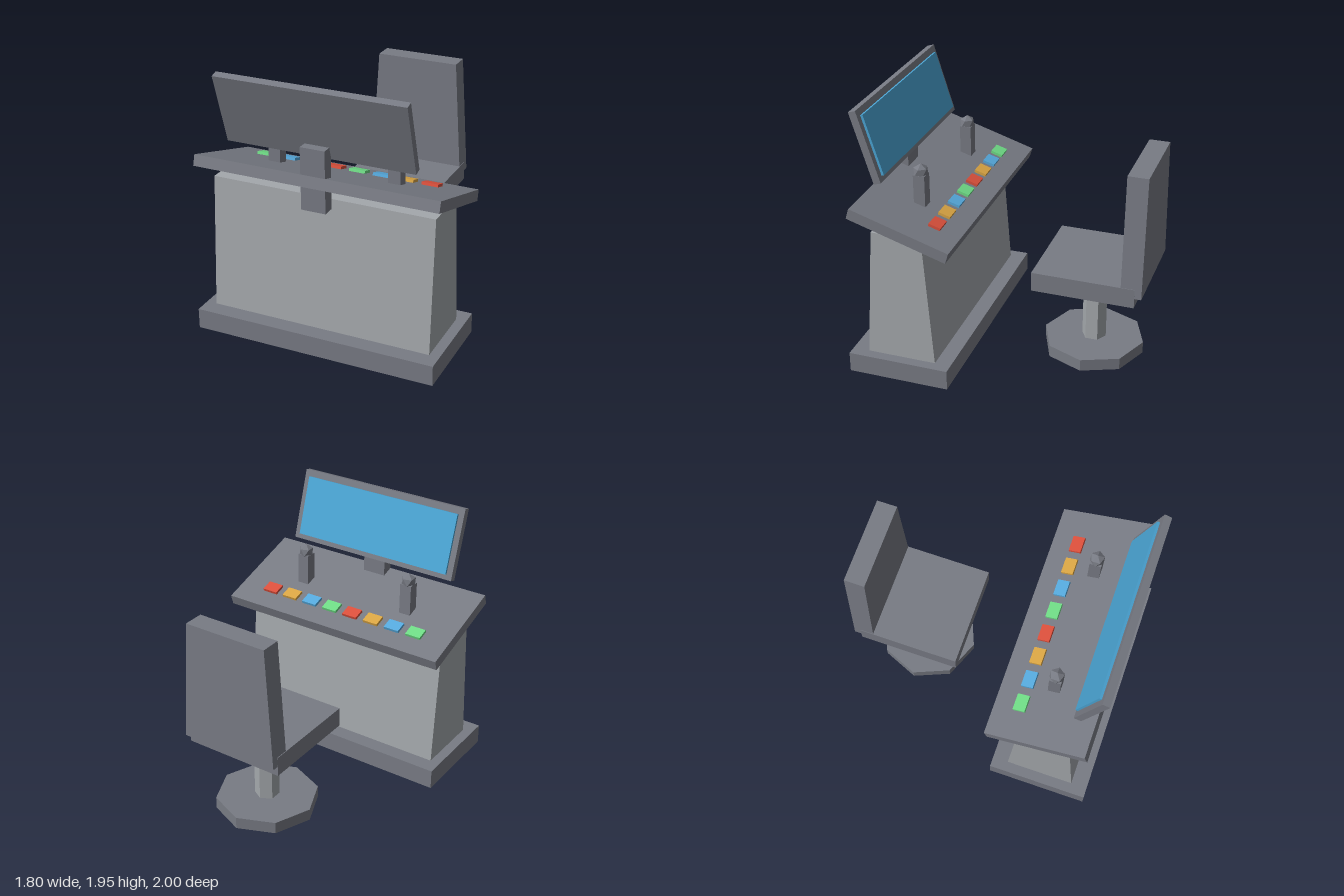
import * as THREE from 'three';

const mat = (name, color) => {
  const m = new THREE.MeshStandardMaterial({ color });
  m.name = name;
  return m;
};

export function createModel() {
  const frame = mat('dark grey frame', 0x787b84);
  const panel = mat('light grey panel', 0xa4a8ac);
  const glass = mat('screen blue', 0x4ba6d6);
  const buttonMats = [
    mat('button green', 0x6fdc86), mat('button blue', 0x56aade),
    mat('button amber', 0xdba644), mat('button red', 0xdc503c),
  ];

  const model = new THREE.Group();
  model.name = 'consoleAndChair';

  const add = (parent, name, geometry, material, x, y, z) => {
    const mesh = new THREE.Mesh(geometry, material);
    mesh.name = name;
    mesh.position.set(x, y, z);
    parent.add(mesh);
    return mesh;
  };
  const box = (w, h, d) => new THREE.BoxGeometry(w, h, d);
  const group = (name, x = 0, y = 0, z = 0) => {
    const g = new THREE.Group();
    g.name = name;
    g.position.set(x, y, z);
    model.add(g);
    return g;
  };
  // Box whose top face is scaled in x and z
  const taperedBox = (w, h, d, sx, sz) => {
    const g = box(w, h, d);
    const p = g.attributes.position;
    for (let i = 0; i < p.count; i++) {
      if (p.getY(i) > 0) p.setXYZ(i, p.getX(i) * sx, p.getY(i), p.getZ(i) * sz);
    }
    g.computeVertexNormals();
    return g;
  };
  // Flat-sided cylinder
  const prism = (r, h, sides) => {
    const g = new THREE.CylinderGeometry(r, r, h, sides).toNonIndexed();
    g.computeVertexNormals();
    return g;
  };

  // Console body
  add(model, 'consoleBase', box(1.8, 0.15, 0.75), frame, 0, 0.075, 0.625);
  add(model, 'consolePedestal', taperedBox(1.65, 0.98, 0.51, 1, 0.725), panel, 0, 0.64, 0.623);

  // Sloping desk with a row of buttons
  const desk = group('desk', 0, 1.177, 0.58);
  desk.rotation.x = -0.3;
  add(desk, 'deskTop', box(1.8, 0.08, 0.75), frame, 0, 0, 0);
  for (let i = 0; i < 8; i++) {
    add(desk, 'button', box(0.12, 0.02, 0.09), buttonMats[i % 4], -0.63 + 0.18 * i, 0.05, -0.18);
  }

  // Control sticks with faceted knobs
  const knob = new THREE.IcosahedronGeometry(0.058);
  knob.rotateZ(-Math.atan(2 / (1 + Math.sqrt(5)))); // one corner straight up
  for (const side of [-1, 1]) {
    add(model, 'stickPost', box(0.09, 0.28, 0.085), frame, side * 0.45, 1.3, 0.58);
    add(model, 'stickKnob', knob, frame, side * 0.45, 1.46, 0.58);
  }

  // Monitor on its bracket, facing the chair
  add(model, 'monitorBracket', box(0.18, 0.45, 0.09), frame, 0, 1.295, 0.88);
  const monitor = group('monitor', 0, 1.691, 0.88);
  monitor.rotation.x = 0.3;
  add(monitor, 'monitorCase', box(1.38, 0.535, 0.055), frame, 0, 0, 0);
  add(monitor, 'monitorScreen', box(1.29, 0.448, 0.02), glass, 0, -0.005, -0.0355);

  // Chair
  const chair = group('chair', 0, 0, -0.575);
  add(chair, 'chairFoot', prism(0.375, 0.09, 8), frame, 0, 0.045, 0);
  add(chair, 'chairStem', prism(0.09, 0.52, 6), panel, 0, 0.35, 0);
  add(chair, 'chairSeat', box(0.75, 0.145, 0.75), frame, 0, 0.6775, 0);
  add(chair, 'chairBack', taperedBox(0.75, 0.9, 0.15, 0.845, 1), frame, 0, 1.13, -0.35);

  return model;
}
